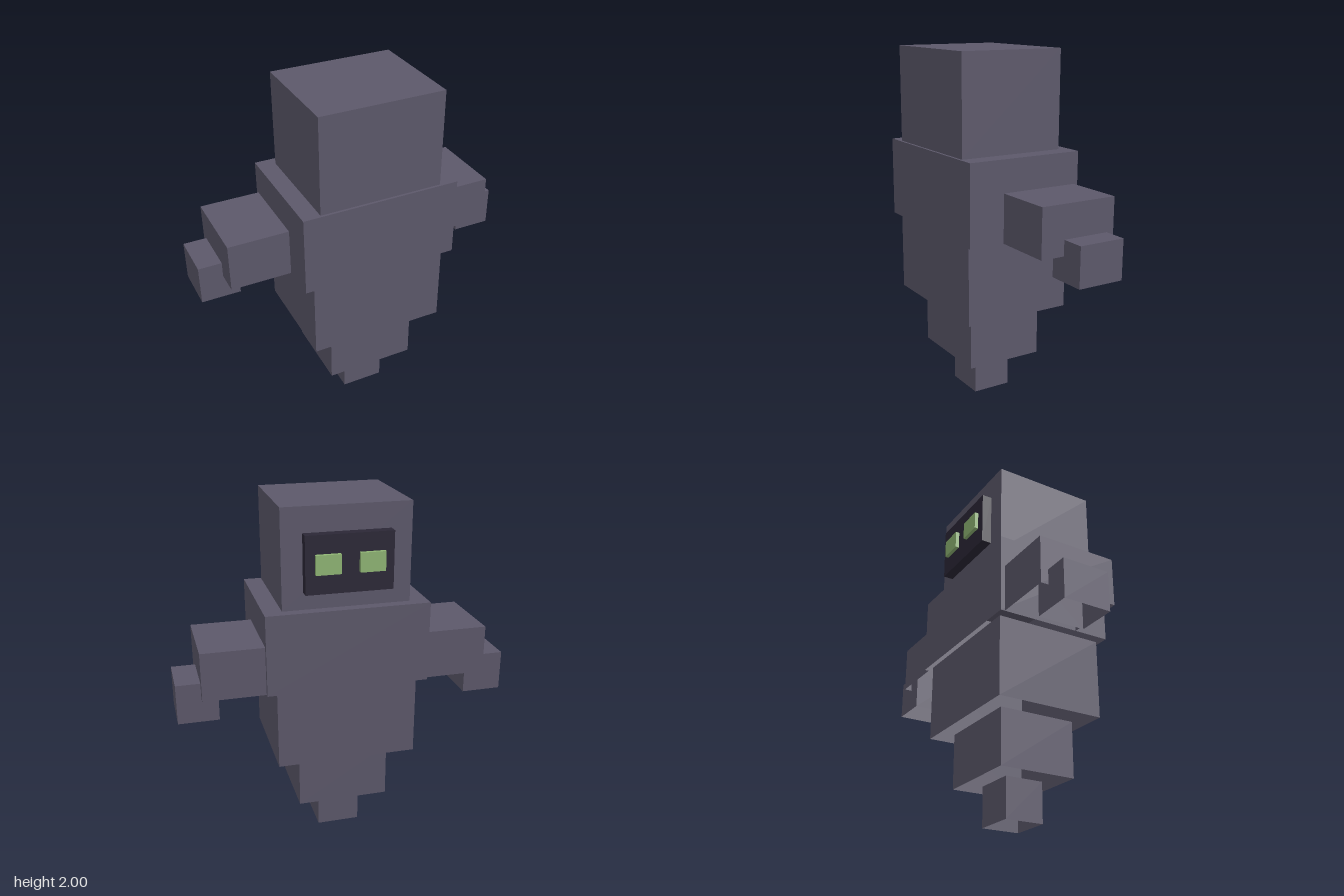
import * as THREE from 'three';

const material = (color) => new THREE.MeshStandardMaterial({ color, side: THREE.DoubleSide, flatShading: true });

// Box shell given by its limits; the underside is left open unless closed is set
function block(name, [x0, x1], [y0, y1], [z0, z1], mat, closed = false) {
  const geo = new THREE.BoxGeometry(x1 - x0, y1 - y0, z1 - z0);
  if (!closed) {
    // faces are ordered +x, -x, +y, -y, +z, -z with six indices each
    const index = Array.from(geo.index.array);
    index.splice(18, 6);
    geo.setIndex(index);
    geo.clearGroups();
  }
  const mesh = new THREE.Mesh(geo, mat);
  mesh.position.set((x0 + x1) / 2, (y0 + y1) / 2, (z0 + z1) / 2);
  mesh.name = name;
  return mesh;
}

export function createModel() {
  const model = new THREE.Group();
  model.name = 'blockFigure';
  const skin = material(0x5c586a);
  const dark = material(0x2b2736);
  const green = material(0x8fb574);

  // Stacked body, tapering to a small tail block
  const stack = [
    ['head', 0.352, [1.455, 2], [-0.272, 0.338]],
    ['chest', 0.453, [1.003, 1.455], [-0.33, 0.352]],
    ['belly', 0.396, [0.55, 1.003], [-0.302, 0.328]],
    ['waist', 0.262, [0.23, 0.55], [-0.213, 0.238]],
    ['tail', 0.124, [0, 0.23], [-0.1, 0.127]],
  ];
  for (const [name, w, y, z] of stack) model.add(block(name, [-w, w], y, z, skin));

  // Face plate
  model.add(block('facePlate', [-0.238, 0.238], [1.55, 1.863], [-0.33, -0.272], dark, true));

  // Mirrored arms, hands and eyes
  for (const [side, s] of [['left', 1], ['right', -1]]) {
    const span = (a, b) => (s > 0 ? [a, b] : [-b, -a]);
    model.add(
      block(side + 'Arm', span(0.453, 0.797), [1.003, 1.275], [-0.305, 0.147], skin),
      block(side + 'Hand', span(0.706, 0.93), [0.867, 1.09], [-0.261, 0.009], skin),
      block(side + 'Eye', span(0.05, 0.187), [1.658, 1.763], [-0.352, -0.33], green, true),
    );
  }
  return model;
}
